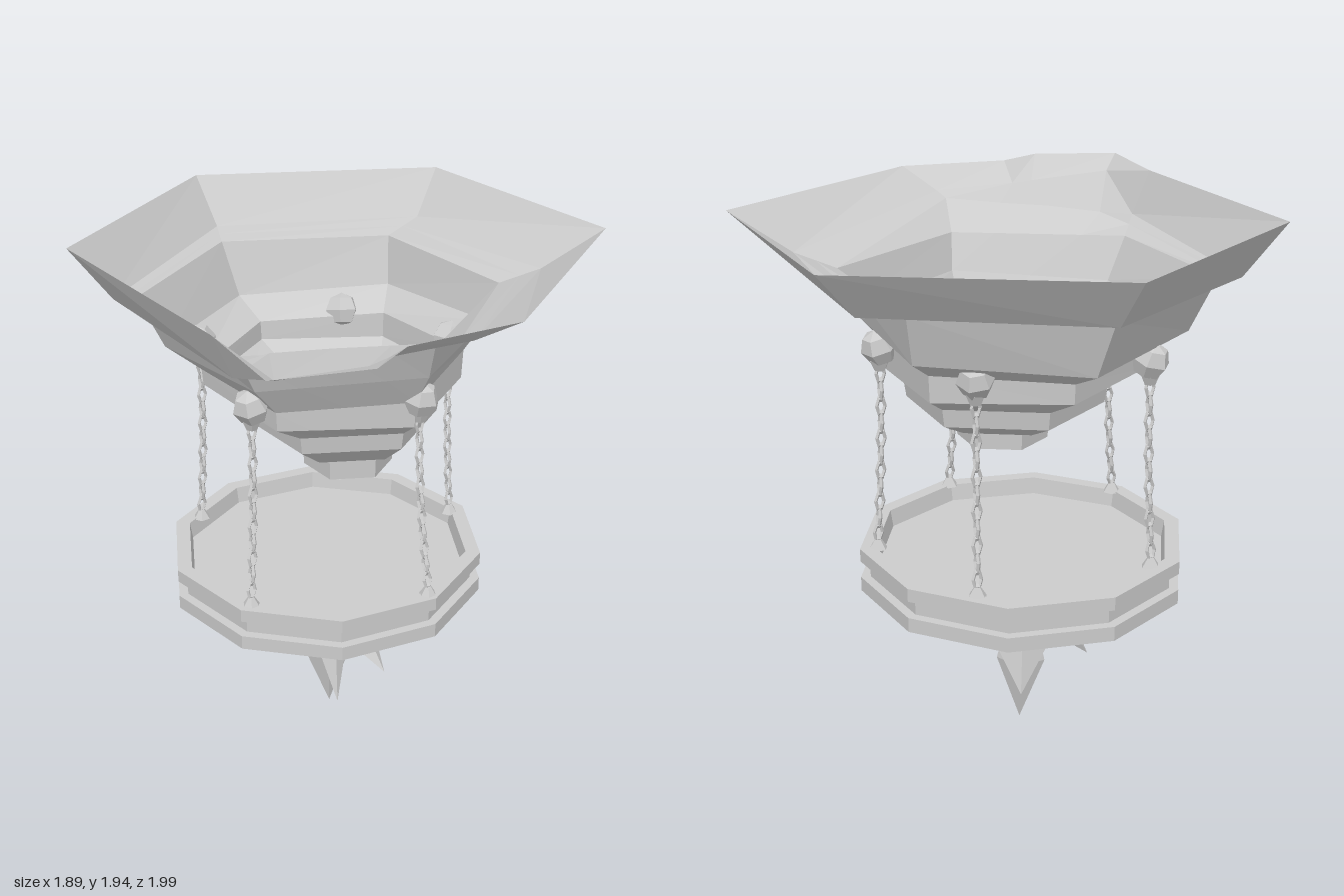
import * as THREE from 'three';

const mat = new THREE.MeshStandardMaterial({ color: 0xcccccc, flatShading: true, side: THREE.DoubleSide });
const V = (x, y, z) => new THREE.Vector3(x, y, z);
const UP = V(0, 1, 0);

function add(parent, name, geo, x = 0, y = 0, z = 0) {
  const m = new THREE.Mesh(geo, mat);
  m.name = name;
  m.position.set(x, y, z);
  parent.add(m);
  return m;
}

const lathe = (profile, sides) =>
  new THREE.LatheGeometry(profile.map(([r, y]) => new THREE.Vector2(r, y)), sides);

// Hexagonal ring; its front edge gets three extra points so it can meet the lip
function hex(cx, cz, r, y, tx = 0, tz = 0) {
  const c = [0, 1, 2, 3, 4, 5].map(i => {
    const a = i * Math.PI / 3, x = cx + r * Math.cos(a), z = cz - r * Math.sin(a);
    return V(x, y + tx * x + tz * z, z);
  });
  const mids = [0.25, 0.5, 0.75].map(t => c[4].clone().lerp(c[5], t));
  return [...c.slice(0, 5), ...mids, c[5]];
}

// Skin a stack of rings from the rim down, closed by a low point
function skin(rings, apex) {
  const n = rings[0].length, pos = [], idx = [];
  rings.forEach(r => r.forEach(p => pos.push(p.x, p.y, p.z)));
  pos.push(apex.x, apex.y, apex.z);
  for (let i = 0; i < rings.length; i++) {
    for (let j = 0; j < n; j++) {
      const k = (j + 1) % n, a = i * n + j, b = i * n + k;
      if (i === rings.length - 1) idx.push(a, rings.length * n, b);
      else idx.push(a, a + n, b + n, a, b + n, b);
    }
  }
  const g = new THREE.BufferGeometry();
  g.setAttribute('position', new THREE.Float32BufferAttribute(pos, 3));
  g.setIndex(idx);
  g.computeVertexNormals();
  return g;
}

function makeBowl(root) {
  // Rim and the broken pouring lip at the front
  const rim = [V(0.945, 1.95, -0.19), V(0.47, 1.95, -1), V(-0.48, 1.95, -1), V(-0.945, 1.95, -0.19),
    V(-0.48, 1.95, 0.64), V(-0.34, 1.95, 0.99), V(-0.02, 1.95, 0.94), V(0.09, 1.95, 0.79), V(0.47, 1.95, 0.64)];
  const flare = [V(0.72, 1.81, -0.19), V(0.38, 1.79, -0.88), V(-0.41, 1.78, -0.88), V(-0.8, 1.76, -0.19),
    V(-0.42, 1.79, 0.6), V(-0.31, 1.9, 0.88), V(-0.02, 1.88, 0.76), V(0.05, 1.88, 0.7), V(0.33, 1.87, 0.58)];
  const wall = hex(-0.075, -0.195, 0.645, 1.76);
  const crease = [0, 1, 2, 3].map(i => flare[i].clone().lerp(wall[i], 0.5));
  crease.push(V(-0.41, 1.78, 0.47), V(-0.3, 1.82, 0.49), V(-0.1, 1.835, 0.51), V(0.08, 1.84, 0.52), V(0.29, 1.85, 0.54));
  // Stepped tiers, each slightly off centre
  add(root, 'bowl', skin([rim, flare, crease, wall,
    hex(-0.05, -0.195, 0.58, 1.605, 0.04, 0.045),
    hex(-0.03, -0.165, 0.475, 1.505, 0.03), hex(-0.03, -0.165, 0.47, 1.42, -0.02),
    hex(0, -0.15, 0.36, 1.355), hex(0, -0.15, 0.35, 1.29),
    hex(0.01, -0.115, 0.235, 1.22), hex(0.015, -0.09, 0.167, 1.22),
    hex(0.015, -0.09, 0.163, 1.13)], V(0.05, 1.1, -0.09)));
}

function makeChain(root, top, bottom) {
  const g = new THREE.Group();
  g.name = 'chain';
  root.add(g);
  const knob = add(g, 'chainKnob', new THREE.SphereGeometry(0.066, 6, 4), top.x, 1.515, top.z);
  knob.rotation.set(top.z * 0.6, 0.3, -top.x * 0.6);
  add(g, 'knobCollar', new THREE.CylinderGeometry(0.035, 0.02, 0.035, 6), top.x, 1.45, top.z);
  // Links hang straight, then swing out to the anchor
  const at = t => V(
    THREE.MathUtils.lerp(top.x, bottom.x, t * t), THREE.MathUtils.lerp(1.45, 0.8, t),
    THREE.MathUtils.lerp(top.z, bottom.z, t * t));
  const count = 11;
  const link = new THREE.TorusGeometry(0.015, 0.0065, 4, 6).scale(1, 1.95, 1.1);
  for (let i = 0; i < count; i++) {
    const a = at(i / count), b = at((i + 1) / count);
    const m = add(g, 'chainLink', link, ...a.clone().lerp(b, 0.5).toArray());
    m.quaternion.setFromUnitVectors(UP, a.sub(b).normalize());
    m.rotateY(0.5 + (i % 2) * Math.PI / 2);
  }
  add(g, 'chainAnchor', new THREE.CylinderGeometry(0.012, 0.034, 0.035, 6), bottom.x, 0.785, bottom.z);
}

// Four-sided pointed leaf from a base point to its tip
function makeLeaf(root, base, tip, width, yaw) {
  const d = tip.clone().sub(base), len = d.length();
  const geo = lathe([[0, len], [width, len * 0.55], [width * 0.25, 0], [0, 0]], 4).scale(1, 1, 0.65);
  const m = add(root, 'leaf', geo, base.x, base.y, base.z);
  m.quaternion.setFromUnitVectors(UP, d.normalize());
  m.rotateY(yaw);
}

export function createModel() {
  const root = new THREE.Group();
  root.name = 'hangingBowl';
  makeBowl(root);

  // Five chains: top x, z and bottom x, z
  [[-0.35, 0.225, -0.375, 0.29], [0.225, 0.225, 0.26, 0.29], [0.415, -0.295, 0.44, -0.31],
    [0.05, -0.615, 0.045, -0.66], [-0.505, -0.36, -0.53, -0.375]]
    .forEach(([x, z, u, w]) => makeChain(root, V(x, 0, z), V(u, 0, w)));

  // Ten-sided tray with a grooved rim and a recessed top and underside
  const cx = -0.065, cz = -0.155;
  add(root, 'tray', lathe([[0, 0.64], [0.43, 0.64], [0.5, 0.61], [0.595, 0.61], [0.595, 0.663],
    [0.56, 0.663], [0.56, 0.725], [0.595, 0.725], [0.595, 0.773], [0.54, 0.773], [0.53, 0.71], [0, 0.71]], 10), cx, 0, cz);
  add(root, 'trayBoss', lathe([[0, 0.545], [0.09, 0.55], [0.165, 0.605], [0.23, 0.615], [0.25, 0.64]], 10), cx, 0, cz);

  // Cluster of hanging leaves
  [[-0.055, 0.01, -0.155, 0.09, 0], [-0.04, 0.13, 0.025, 0.055, 0], [-0.31, 0.32, -0.2, 0.08, 0.6],
    [0.135, 0.3, 0.09, 0.07, 0.7], [-0.08, 0.24, -0.39, 0.09, 0], [0.12, 0.49, -0.25, 0.04, 0.4]]
    .forEach(([x, y, z, w, yaw]) => makeLeaf(root, V(cx + (x - cx) * 0.1, 0.56, cz + (z - cz) * 0.1), V(x, y, z), w, yaw));
  return root;
}
